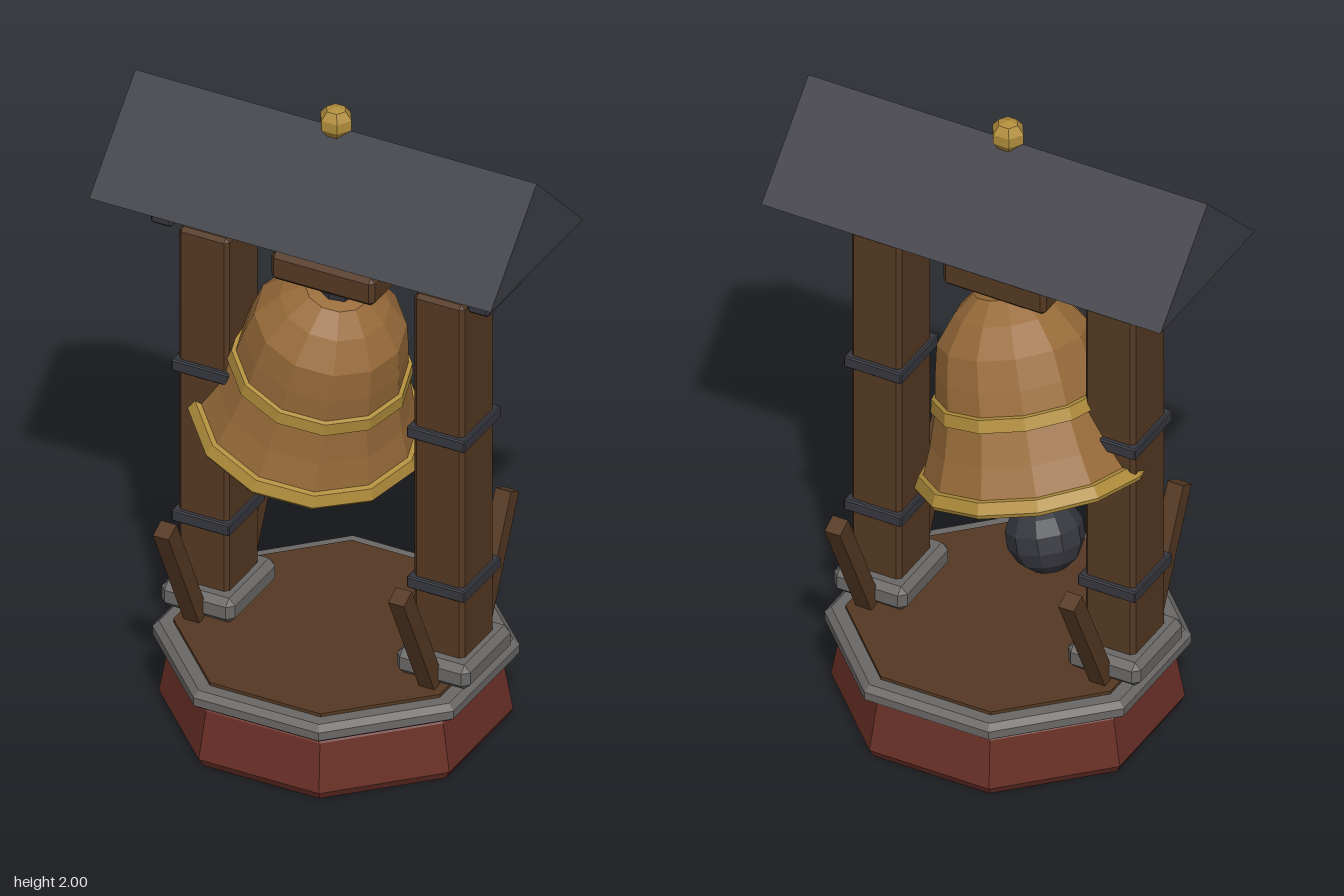
import * as THREE from 'three';
import { ConvexGeometry } from 'three/addons/geometries/ConvexGeometry.js';

const material = (name, color) => {
  const m = new THREE.MeshStandardMaterial({ color, flatShading: true });
  m.name = name;
  return m;
};

// Box with chamfered edges
function chamferBox(w, h, d, c) {
  const points = [];
  for (const x of [-1, 1]) for (const y of [-1, 1]) for (const z of [-1, 1]) {
    const [a, b, e] = [w / 2, h / 2, d / 2];
    points.push(
      new THREE.Vector3(x * a, y * (b - c), z * (e - c)),
      new THREE.Vector3(x * (a - c), y * b, z * (e - c)),
      new THREE.Vector3(x * (a - c), y * (b - c), z * e));
  }
  return new ConvexGeometry(points);
}

// Faceted solid of revolution, profile listed bottom to top as [radius, y]
const lathe = (profile, sides, turn = 0) =>
  new THREE.LatheGeometry(profile.map(([r, y]) => new THREE.Vector2(r, y)), sides, turn);

// Octagon with flats on the axes, profile given as [apothem, y]
const octagon = (profile) =>
  lathe(profile.map(([a, y]) => [a / Math.cos(Math.PI / 8), y]), 8, Math.PI / 8);

export function createModel() {
  const wood = material('wood', 0x553923);
  const stone = material('stone', 0x6a6866);
  const brick = material('red brick', 0x6a3027);
  const slate = material('roof slate', 0x3d3e45);
  const iron = material('dark iron', 0x36373e);
  const bronze = material('bronze', 0x996c3a);
  const gold = material('gold', 0xb08d3c);
  const hollow = material('bell shadow bronze', 0x4a321c);

  const model = new THREE.Group();
  model.name = 'bellTower';
  const add = (name, geometry, mat, x = 0, y = 0, z = 0, parent = model) => {
    const mesh = new THREE.Mesh(geometry, mat);
    mesh.name = name;
    mesh.position.set(x, y, z);
    parent.add(mesh);
    return mesh;
  };

  // Octagonal base
  add('base', octagon([[0, 0], [0.45, 0], [0.463, 0.025], [0.438, 0.175], [0.415, 0.2], [0, 0.2]]), brick);
  add('baseTrim', octagon([[0, 0.2], [0.465, 0.2], [0.48, 0.212], [0.48, 0.238], [0.462, 0.255], [0, 0.255]]), stone);
  add('floor', octagon([[0.425, 0.25], [0.425, 0.265], [0, 0.265]]), wood);

  // Posts with feet, bands, braces and beam caps
  for (const side of [-1, 1]) {
    const x = side * 0.375;
    add('post', chamferBox(0.16, 1.25, 0.19, 0.012), wood, x, 0.89, 0);
    add('postFoot', chamferBox(0.235, 0.08, 0.28, 0.02), stone, x, 0.305, 0);
    for (const y of [0.56, 1.06]) {
      add('postBand', chamferBox(0.185, 0.038, 0.22, 0.004), iron, x, y, 0);
    }
    for (const dir of [-1, 1]) {
      const brace = add('brace', new THREE.BoxGeometry(0.05, 0.43, 0.054), wood, x, 0.462, dir * 0.228);
      brace.rotation.x = dir * 0.45;
    }
    add('beamCap', chamferBox(0.07, 0.16, 0.205, 0.008), iron, side * 0.505, 1.588, 0);
    add('beamEnd', new THREE.BoxGeometry(0.008, 0.1, 0.16), wood, side * 0.541, 1.59, 0);
  }

  // Beam and yoke
  add('beam', chamferBox(1.0, 0.145, 0.18, 0.018), wood, 0, 1.588, 0);
  add('yoke', chamferBox(0.33, 0.09, 0.18, 0.014), wood, 0, 1.468, 0);

  // Gabled roof and finial
  const gable = new THREE.Shape([
    new THREE.Vector2(-0.277, 1.657), new THREE.Vector2(0.277, 1.657), new THREE.Vector2(0, 1.932)]);
  const roof = new THREE.ExtrudeGeometry(gable, { depth: 1.28, bevelEnabled: false });
  roof.translate(0, 0, -0.64).rotateY(Math.PI / 2);
  add('roof', roof, slate);
  add('finial', new THREE.SphereGeometry(0.05, 6, 5), gold, 0, 1.95, 0).scale.x = 1.05;

  // Swinging bell
  const swing = new THREE.Group();
  swing.name = 'swingingBell';
  swing.position.set(0, 1.37, 0);
  swing.rotation.set(0.17, 0, -0.26);
  model.add(swing);
  const hang = (name, geometry, mat, y = 0) => add(name, geometry, mat, 0, y, 0, swing);
  hang('bellBody', lathe([[0.318, -0.495], [0.282, -0.4], [0.25, -0.29], [0.236, -0.19],
    [0.218, -0.1], [0.158, -0.02], [0.095, 0.035], [0, 0.045]], 12), bronze);
  hang('bellBand', lathe([[0.25, -0.303], [0.265, -0.3], [0.258, -0.262], [0.24, -0.258]], 12), gold);
  hang('bellRim', lathe([[0.3, -0.53], [0.338, -0.53], [0.344, -0.518], [0.328, -0.485], [0.305, -0.482]], 12), gold);
  hang('bellMouth', lathe([[0, -0.525], [0.305, -0.525]], 12), hollow);
  hang('bellHanger', new THREE.CylinderGeometry(0.06, 0.06, 0.08, 8), iron, 0.06);

  // Clapper
  hang('clapperRod', new THREE.CylinderGeometry(0.018, 0.018, 0.16, 6), iron, -0.56);
  hang('clapperBall', new THREE.SphereGeometry(0.115, 10, 7), iron, -0.71);

  return model;
}
